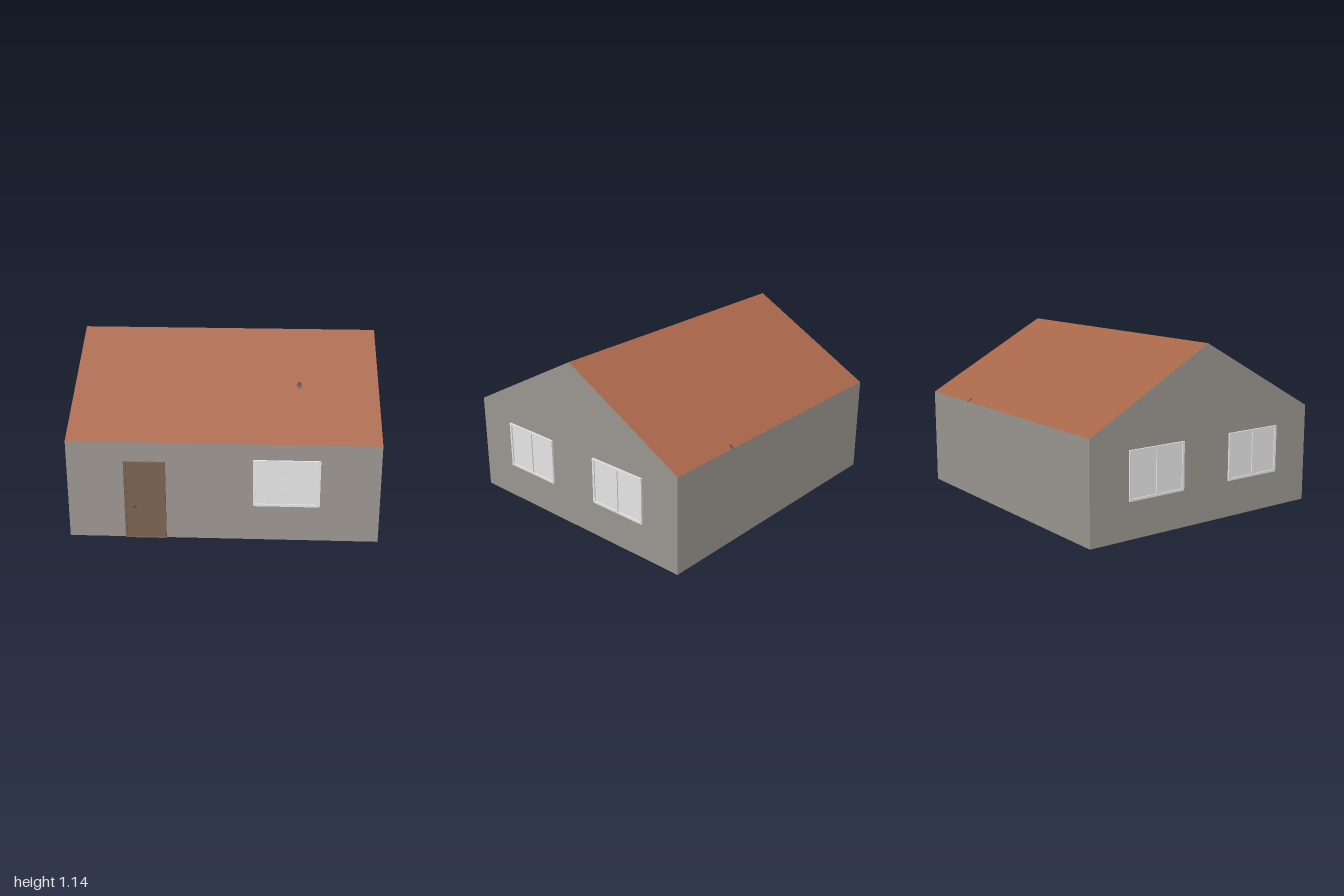
import * as THREE from 'three';

const mat = (name, color) => Object.assign(new THREE.MeshStandardMaterial({ color }), { name });

export function createModel() {
  const house = new THREE.Group();
  house.name = 'house';
  const wallMat = mat('grey plaster', 0x9c9791);
  const roofMat = mat('terracotta roof', 0xa8664a);
  const windowMat = mat('window white', 0xededed);
  const doorMat = mat('brown wood', 0x7c6450);
  const metalMat = mat('dark metal', 0x55504a);

  const add = (parent, name, geometry, material, x = 0, y = 0, z = 0) => {
    const mesh = new THREE.Mesh(geometry, material);
    mesh.name = name;
    mesh.position.set(x, y, z);
    parent.add(mesh);
    return mesh;
  };

  // House cross-section as [z, y], from the front foot over the ridge to the back foot
  const H = 0.988, FRONT = 0.88, BACK = -0.905;
  const profile = [[FRONT, 0], [FRONT, 0.66], [-0.0125, 1.145], [BACK, 0.66], [BACK, 0]];
  const names = ['frontWall', 'frontRoof', 'backRoof', 'backWall', 'floor'];
  profile.forEach(([z0, y0], i) => {
    const [z1, y1] = profile[(i + 1) % profile.length];
    const g = new THREE.BufferGeometry();
    g.setAttribute('position', new THREE.Float32BufferAttribute(
      [-H, y0, z0, H, y0, z0, H, y1, z1, -H, y1, z1], 3));
    g.setIndex([0, 1, 2, 0, 2, 3]);
    g.computeVertexNormals();
    add(house, names[i], g, names[i].endsWith('Roof') ? roofMat : wallMat);
  });

  // Gable walls
  for (const side of [-1, 1]) {
    const shape = new THREE.Shape(profile.map(([z, y]) => new THREE.Vector2(-side * z, y)));
    const gable = add(house, side > 0 ? 'leftGable' : 'rightGable',
      new THREE.ShapeGeometry(shape), wallMat, side * H);
    gable.rotation.y = side * Math.PI / 2;
  }

  // Frame with rectangular openings, standing on z = 0
  const rect = (Type, x, y, w, h) => new Type([[x, y], [x + w, y], [x + w, y + h], [x, y + h]]
    .map(p => new THREE.Vector2(...p)));
  const frameGeometry = (w, h, holes, depth) => {
    const shape = rect(THREE.Shape, -w / 2, 0, w, h);
    shape.holes = holes.map(r => rect(THREE.Path, ...r));
    return new THREE.ExtrudeGeometry(shape, { depth, bevelEnabled: false });
  };

  // Two-pane windows
  const W = 0.422, WH = 0.314, rim = 0.015, pane = (W - 3 * rim) / 2;
  const holes = [-W / 2 + rim, rim / 2].map(x => [x, rim, pane, WH - 2 * rim]);
  const windowFrame = frameGeometry(W, WH, holes, 0.012);
  const glass = new THREE.BoxGeometry(pane, WH - 2 * rim, 0.004);
  const addWindow = (name, x, z, turn) => {
    const g = new THREE.Group();
    g.name = name;
    add(g, 'windowFrame', windowFrame, windowMat);
    for (const [px] of holes) add(g, 'windowPane', glass, windowMat, px + pane / 2, WH / 2, 0.002);
    g.position.set(x, 0.241, z);
    g.rotation.y = turn;
    house.add(g);
  };
  addWindow('frontWindow', 0.4, FRONT, 0);
  for (const side of [-1, 1])
    for (const z of [0.388, -0.41])
      addWindow(side > 0 ? 'leftWindow' : 'rightWindow', side * H, z, side * Math.PI / 2);

  // Front door
  const door = new THREE.Group();
  door.name = 'door';
  door.position.set(-0.495, 0, FRONT);
  house.add(door);
  const DW = 0.264, DH = 0.53;
  add(door, 'doorFrame', frameGeometry(DW, DH, [[-DW / 2 + 0.014, 0.004, DW - 0.028, DH - 0.018]], 0.012), doorMat);
  add(door, 'doorLeaf', new THREE.BoxGeometry(DW - 0.028, DH - 0.014, 0.005), doorMat, 0, DH / 2 - 0.007, 0.0025);
  const stem = add(door, 'knobStem', new THREE.CylinderGeometry(0.005, 0.005, 0.02, 12), metalMat, -0.068, 0.228, 0.01);
  stem.rotation.x = Math.PI / 2;
  const knob = add(door, 'doorKnob', new THREE.SphereGeometry(0.012, 16, 10), metalMat, -0.068, 0.228, 0.018);
  knob.scale.z = 0.65;

  // Small fixings on the roof
  const slope = Math.atan2(0.485, 0.8925);
  for (const [y, z, tilt, size] of [[0.898, 0.442, slope, 1], [0.668, -0.89, -slope, 0.7]]) {
    const fixing = add(house, 'roofFixing', new THREE.SphereGeometry(0.015, 12, 8), metalMat, 0.476, y, z);
    fixing.rotation.x = tilt;
    fixing.scale.set(size, 0.2, size * 1.9);
  }
  return house;
}
